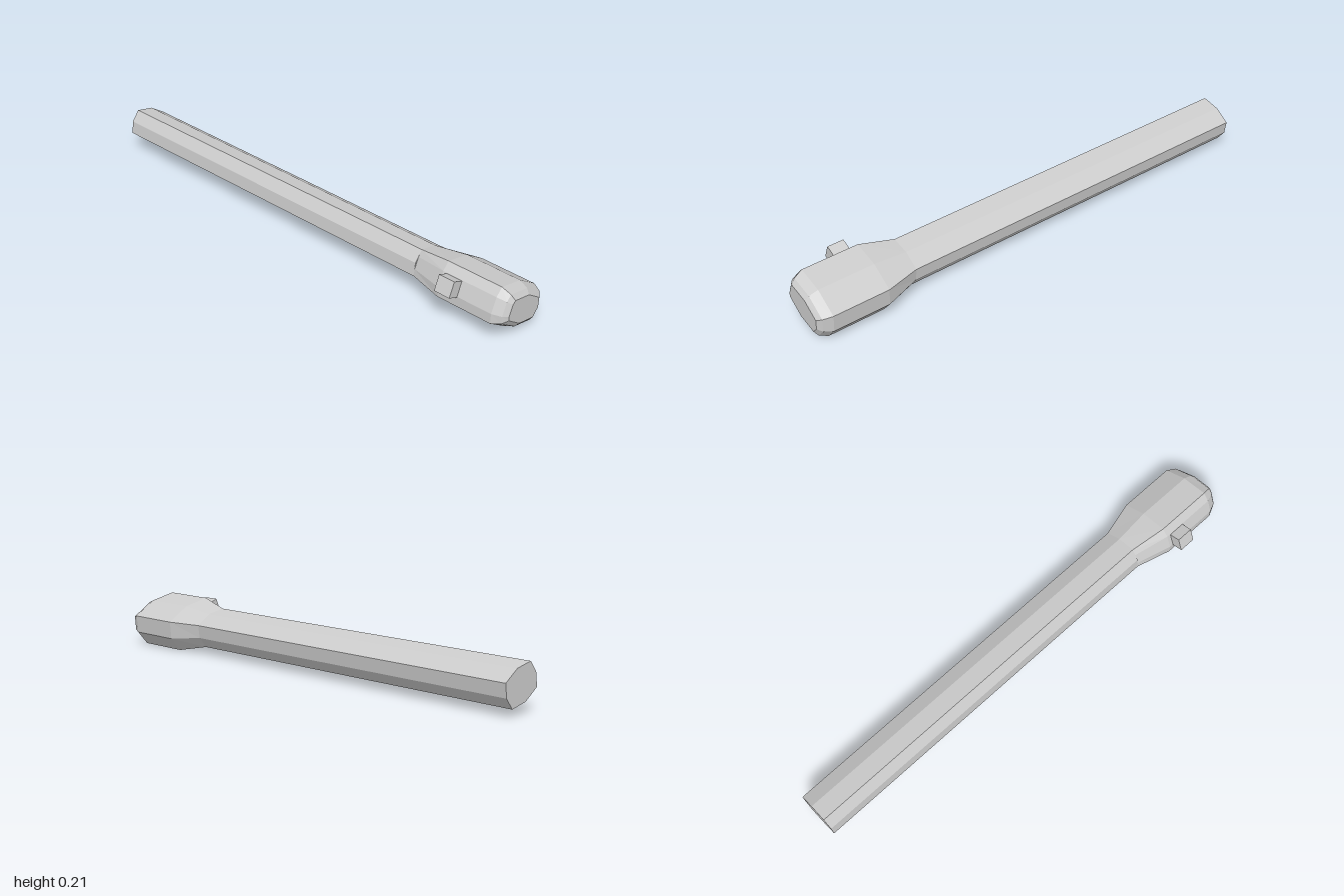
import * as THREE from 'three';

// Nine-point section in (z, y): a faceted oval whose front tip is cut to a flat.
function section({ x, a, b, c, d, flatZ, flatY }) {
  return [
    [0, c], [a, b], [flatZ, flatY], [flatZ, -flatY], [a, -b],
    [0, -c], [-a, -b], [-d, 0], [-a, b],
  ].map(([z, y]) => new THREE.Vector3(x, y, z));
}

// Skin between consecutive sections, with flat caps as asked for.
function loft(sections, capStart, capEnd) {
  const rings = sections.map(section);
  const pos = [];
  const tri = (p, q, r) => {
    if (new THREE.Triangle(p, q, r).getArea() > 1e-8) {
      for (const v of [p, q, r]) pos.push(v.x, v.y, v.z);
    }
  };
  const n = rings[0].length;
  for (let k = 0; k < rings.length - 1; k++) {
    for (let i = 0; i < n; i++) {
      const j = (i + 1) % n;
      tri(rings[k][i], rings[k][j], rings[k + 1][j]);
      tri(rings[k][i], rings[k + 1][j], rings[k + 1][i]);
    }
  }
  const first = rings[0], last = rings[rings.length - 1];
  for (let i = 1; i < n - 1; i++) {
    if (capStart) tri(first[0], first[i + 1], first[i]);
    if (capEnd) tri(last[0], last[i], last[i + 1]);
  }
  const geo = new THREE.BufferGeometry();
  geo.setAttribute('position', new THREE.Float32BufferAttribute(pos, 3));
  geo.computeVertexNormals();
  return geo;
}

export function createModel() {
  const material = new THREE.MeshStandardMaterial({ color: 0xcccccc, flatShading: true });
  const model = new THREE.Group();
  model.name = 'handle';

  // Everything is rolled about the long axis
  const body = new THREE.Group();
  body.name = 'rolledBody';
  body.rotation.x = -0.395;
  body.position.set(0, 0.1045, -0.0205);
  model.add(body);

  const add = (name, geometry) => {
    const mesh = new THREE.Mesh(geometry, material);
    mesh.name = name;
    body.add(mesh);
    return mesh;
  };

  const slim = { a: 0.073, b: 0.0515, c: 0.066, d: 0.087 };
  const wide = { a: 0.107, b: 0.068, c: 0.087, d: 0.129, flatZ: 0.121, flatY: 0.031 };
  const tip = { a: 0.0795, b: 0.0375, c: 0.0535, d: 0.093, flatZ: 0.087, flatY: 0.023 };
  const neck = { ...slim, x: 0.58, flatZ: 0.08, flatY: 0.024 };

  // Between the full section and the tip
  const blend = (x, t) => {
    const s = { x };
    for (const key in wide) s[key] = THREE.MathUtils.lerp(wide[key], tip[key], t);
    return s;
  };

  // Long straight shaft, pointed along its front edge
  const pointed = { ...slim, flatZ: slim.d, flatY: 0 };
  add('shaft', loft([{ ...pointed, x: -1 }, { ...pointed, x: 0.58 }], true, true));

  // Flared head with a rounded-off end
  add('head', loft([
    neck, { ...wide, x: 0.72 }, { ...wide, x: 0.95 }, blend(0.985, 0.45), { ...tip, x: 1 },
  ], false, true));

  // Small block on the head's front flat
  add('button', new THREE.BoxGeometry(0.067, 0.062, 0.068)).position.set(0.77, -0.003, 0.134);

  return model;
}
